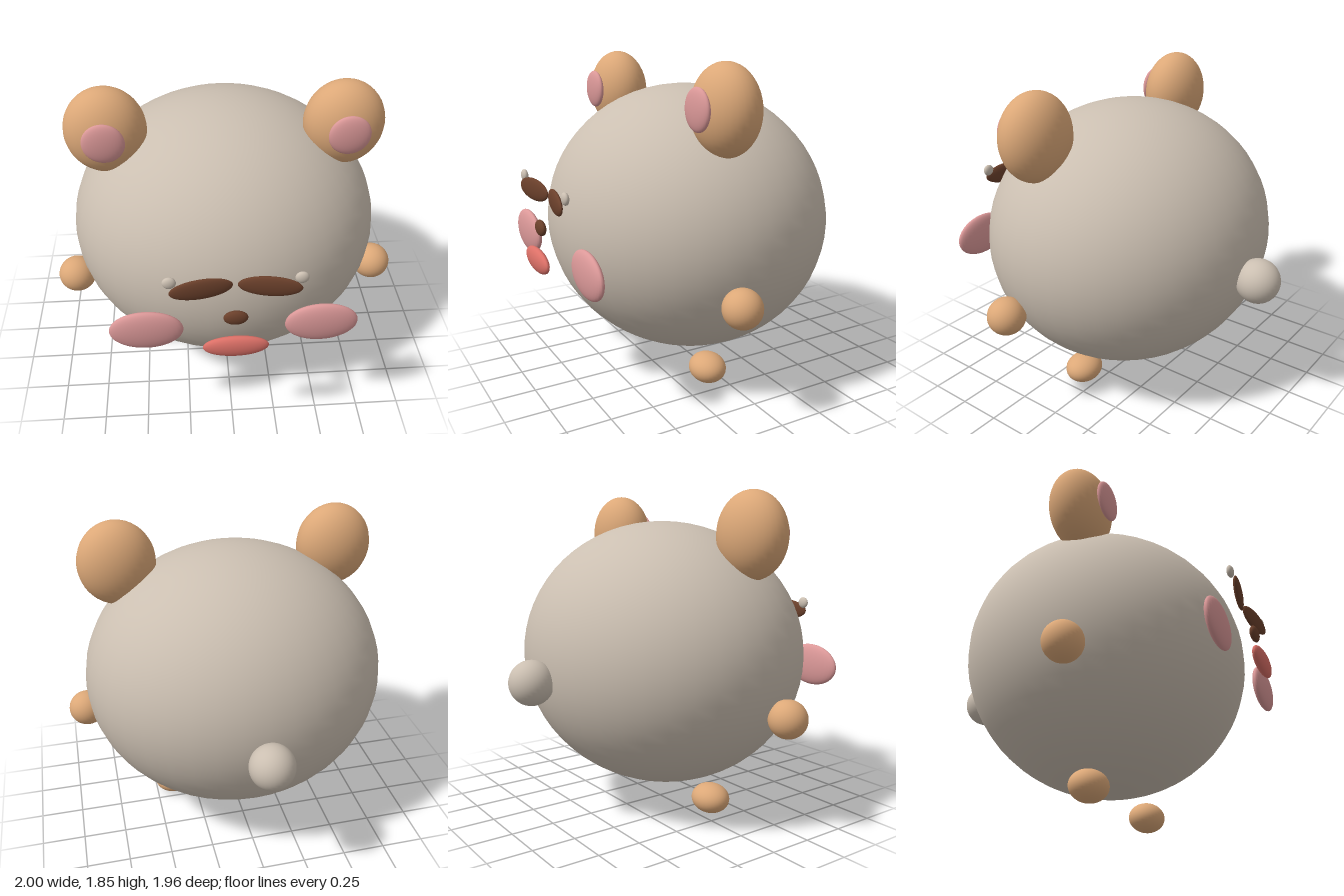
import * as THREE from 'three';

const flat = (name, color) => {
  const m = new THREE.MeshStandardMaterial({ color });
  m.name = name;
  return m;
};

export function createModel() {
  const group = new THREE.Group();
  group.name = 'roundBear';

  const fur = flat('greyFur', 0xcbbfb1);
  const tan = flat('tanFur', 0xdca878);
  const pink = flat('pink', 0xdb9898);
  const coral = flat('coral', 0xdc7067);
  const brown = flat('darkBrown', 0x6b402b);

  const ball = new THREE.SphereGeometry(1, 32, 24);
  const bodyBall = new THREE.SphereGeometry(1, 40, 32);

  // One ellipsoid: centre, radii and an optional turn about y
  function blob(name, material, centre, radii, turn = 0, geometry = ball) {
    const mesh = new THREE.Mesh(geometry, material);
    mesh.name = name;
    mesh.position.set(...centre);
    mesh.scale.set(...radii);
    mesh.rotation.y = turn;
    group.add(mesh);
  }

  // The same ellipsoid on both sides
  function pair(name, material, [x, y, z], radii, turn = 0) {
    blob('left' + name, material, [x, y, z], radii, turn);
    blob('right' + name, material, [-x, y, z], radii, -turn);
  }

  // Body and tail
  blob('body', fur, [0, 0.92, 0.013], [0.88, 0.775, 0.807], 0, bodyBall);
  blob('tail', fur, [0, 0.83, -0.856], [0.124, 0.125, 0.124]);

  // Ears
  pair('Ear', tan, [0.636, 1.615, 0.142], [0.22, 0.241, 0.167]);
  pair('InnerEar', pink, [0.636, 1.626, 0.306], [0.112, 0.112, 0.033]);

  // Limbs
  pair('Arm', tan, [0.89, 0.656, 0.19], [0.109, 0.106, 0.106]);
  pair('Foot', tan, [0.388, 0.088, 0.085], [0.12, 0.086, 0.104]);

  // Face
  pair('Eye', brown, [0.171, 1.134, 0.886], [0.161, 0.063, 0.021], -0.15);
  pair('EyeGlint', fur, [0.326, 1.186, 0.888], [0.035, 0.034, 0.019]);
  pair('Cheek', pink, [0.459, 0.815, 0.836], [0.193, 0.126, 0.041]);
  blob('nose', brown, [0, 0.957, 0.916], [0.063, 0.044, 0.024]);
  blob('mouth', coral, [0, 0.779, 0.942], [0.171, 0.067, 0.033]);

  return group;
}
